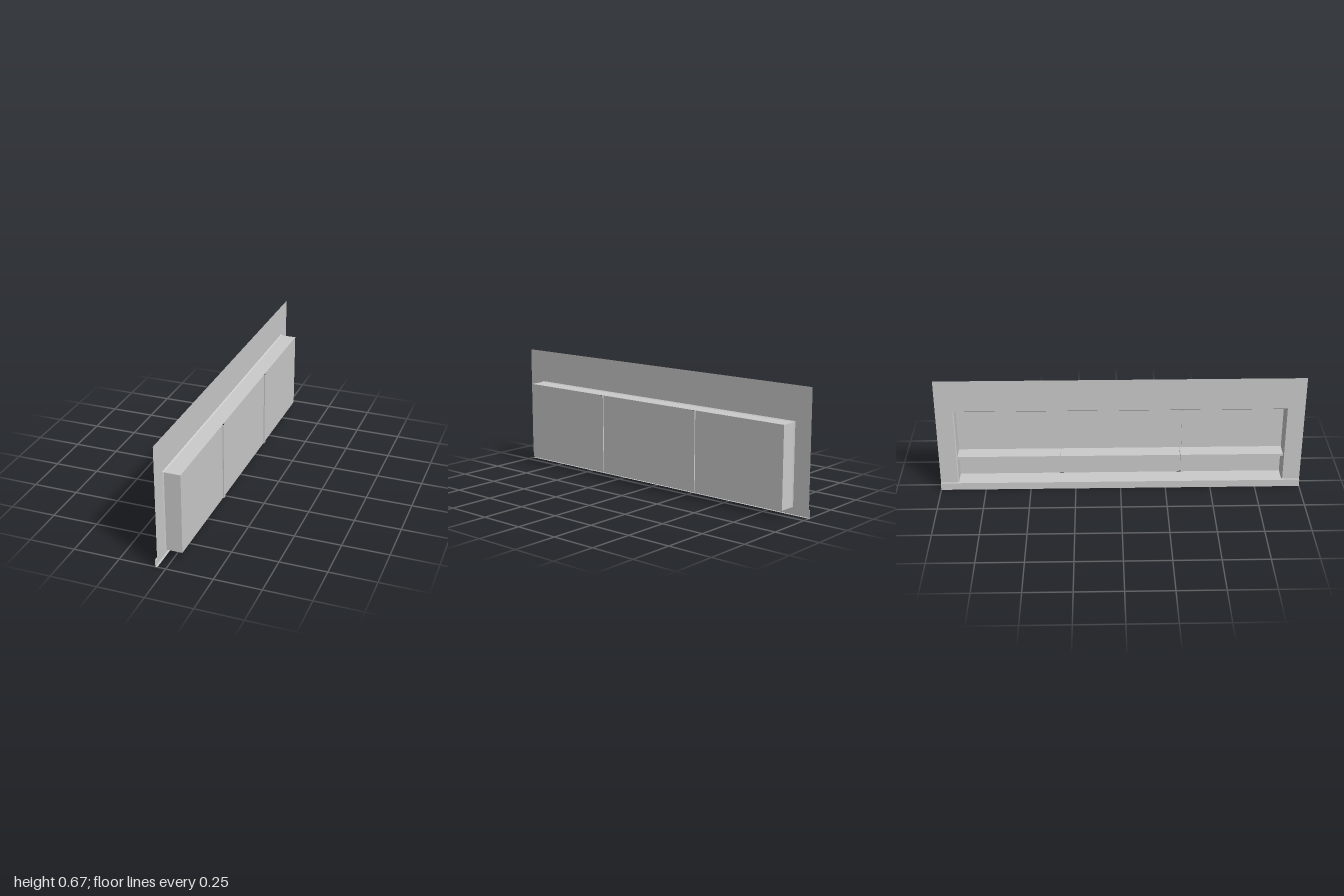
import * as THREE from 'three';

const material = new THREE.MeshStandardMaterial({ color: 0xcccccc, side: THREE.DoubleSide });

// Main planes of the recessed wall unit
const WALL_X = -0.044, TRIM_X = -0.038, BACK_X = 0.048, GROOVE_X = 0.054, KICK_X = -0.055;
const FLOOR_Y = 0.042, NICHE_TOP = 0.482, OPENING_TOP = 0.487, WALL_TOP = 0.67;
const NICHE_Z = 0.9, OPENING_Z = 0.905, GROOVE_Z = 0.33, GROOVE_HALF = 0.011;

// Thin sheet spanning two matching polylines, with flat facets
function sheet(name, a, b) {
  const pos = [];
  for (let i = 0; i < a.length - 1; i++) {
    pos.push(...a[i], ...a[i + 1], ...b[i + 1], ...a[i], ...b[i + 1], ...b[i]);
  }
  const geo = new THREE.BufferGeometry();
  geo.setAttribute('position', new THREE.Float32BufferAttribute(pos, 3));
  geo.computeVertexNormals();
  const mesh = new THREE.Mesh(geo, material);
  mesh.name = name;
  return mesh;
}

// Arch around the niche: up one side, across the top, down the other
const arch = (x, z, top) => [
  [x, FLOOR_Y, -z], [x, top, -z], [x, top, z], [x, FLOOR_Y, z],
];

export function createModel() {
  const group = new THREE.Group();
  group.name = 'recessedWallUnit';

  // Wall face around the opening, then the bevelled trim and the niche lining
  const outer = arch(WALL_X, 1, WALL_TOP);
  const opening = arch(WALL_X, OPENING_Z, OPENING_TOP);
  const inner = arch(TRIM_X, NICHE_Z, NICHE_TOP);
  const rear = arch(BACK_X, NICHE_Z, NICHE_TOP);
  group.add(sheet('wallFace', opening, outer));
  group.add(sheet('openingTrim', inner, opening));
  group.add(sheet('nicheLining', rear, inner));

  // Niche floor
  group.add(sheet('nicheFloor',
    [[WALL_X, FLOOR_Y, -NICHE_Z], [BACK_X, FLOOR_Y, -NICHE_Z]],
    [[WALL_X, FLOOR_Y, NICHE_Z], [BACK_X, FLOOR_Y, NICHE_Z]]));

  // Back panel folded outward into two vertical grooves
  const plan = [[BACK_X, -NICHE_Z]];
  for (const z of [-GROOVE_Z, GROOVE_Z]) {
    const z0 = z - GROOVE_HALF, z1 = z + GROOVE_HALF;
    plan.push([BACK_X, z0], [GROOVE_X, z0], [GROOVE_X, z1], [BACK_X, z1]);
  }
  plan.push([BACK_X, NICHE_Z]);
  group.add(sheet('backPanel',
    plan.map(([x, z]) => [x, FLOOR_Y, z]),
    plan.map(([x, z]) => [x, NICHE_TOP, z])));

  // Kick board: ledge, face and bottom return
  const kick = [[WALL_X, FLOOR_Y], [KICK_X, FLOOR_Y], [KICK_X, 0], [WALL_X, 0]];
  group.add(sheet('kickBoard',
    kick.map(([x, y]) => [x, y, -1]),
    kick.map(([x, y]) => [x, y, 1])));

  // Three shelf boards with narrow seams at the grooves
  const gap = 0.002;
  const ends = [-NICHE_Z, -GROOVE_Z, GROOVE_Z, NICHE_Z];
  for (let i = 0; i < 3; i++) {
    const length = ends[i + 1] - ends[i] - gap;
    const shelf = new THREE.Mesh(new THREE.BoxGeometry(BACK_X - TRIM_X, 0.015, length), material);
    shelf.position.set((BACK_X + TRIM_X) / 2, 0.193, (ends[i] + ends[i + 1]) / 2);
    shelf.name = 'shelf' + (i + 1);
    group.add(shelf);
  }
  return group;
}
